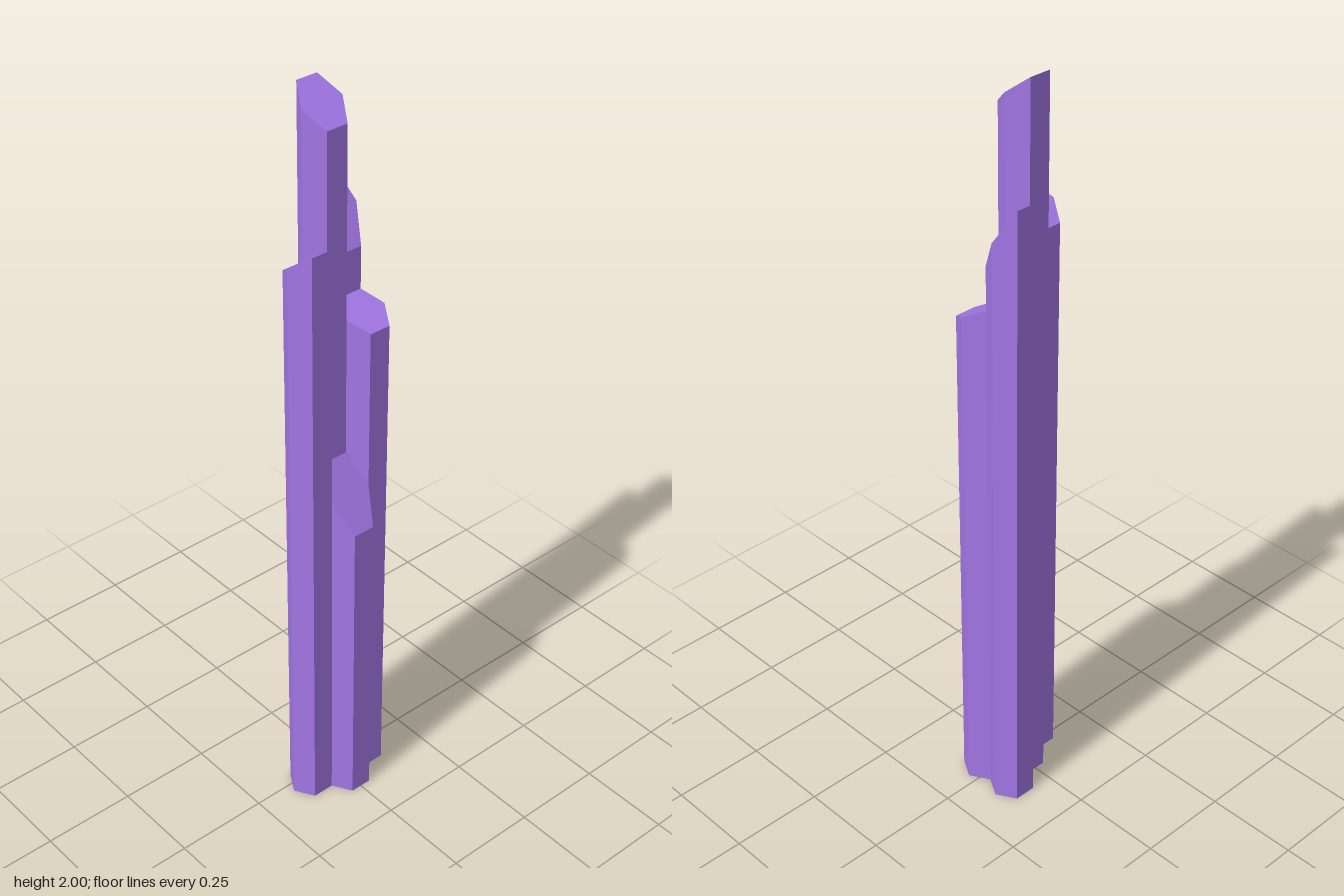
import * as THREE from 'three';

const RADIUS = 0.0593;                       // corner radius of a column
const HALF = RADIUS * Math.sqrt(3) / 2;      // half width across the flats

// Hexagonal column whose top is cut along a plane: left height to right height in x
function column(name, x, z, yMinusX, yPlusX, material) {
  const geometry = new THREE.CylinderGeometry(RADIUS, RADIUS, 2, 6, 1);
  const p = geometry.attributes.position;
  const mid = (yMinusX + yPlusX) / 2;
  const slope = (yPlusX - yMinusX) / (2 * HALF);
  for (let i = 0; i < p.count; i++) {
    p.setY(i, p.getY(i) > 0 ? mid + slope * p.getX(i) : 0);
  }
  geometry.computeVertexNormals();
  const mesh = new THREE.Mesh(geometry, material);
  mesh.name = name;
  mesh.position.set(x, 0, z);
  return mesh;
}

export function createModel() {
  const group = new THREE.Group();
  group.name = 'crystalCluster';
  const material = new THREE.MeshStandardMaterial({ color: 0xa478e8, flatShading: true });

  // Honeycomb rows: column step is one width in x, 1.5 radii in z
  const row = RADIUS * 1.5;
  const columns = [
    ['backRightColumn', -1.5, -1, 1.73, 1.555],
    ['backLeftColumn', 0.5, -1, 1.44, 1.385],
    ['tallCentreColumn', -0.5, 0, 2.0, 1.915],
    ['shortLeftColumn', 1.5, 0, 1.035, 0.865],
    ['frontColumn', 0.5, 1, 1.58, 1.655],
  ];
  for (const [name, cx, cz, low, high] of columns) {
    group.add(column(name, cx * HALF, cz * row, low, high, material));
  }
  return group;
}
